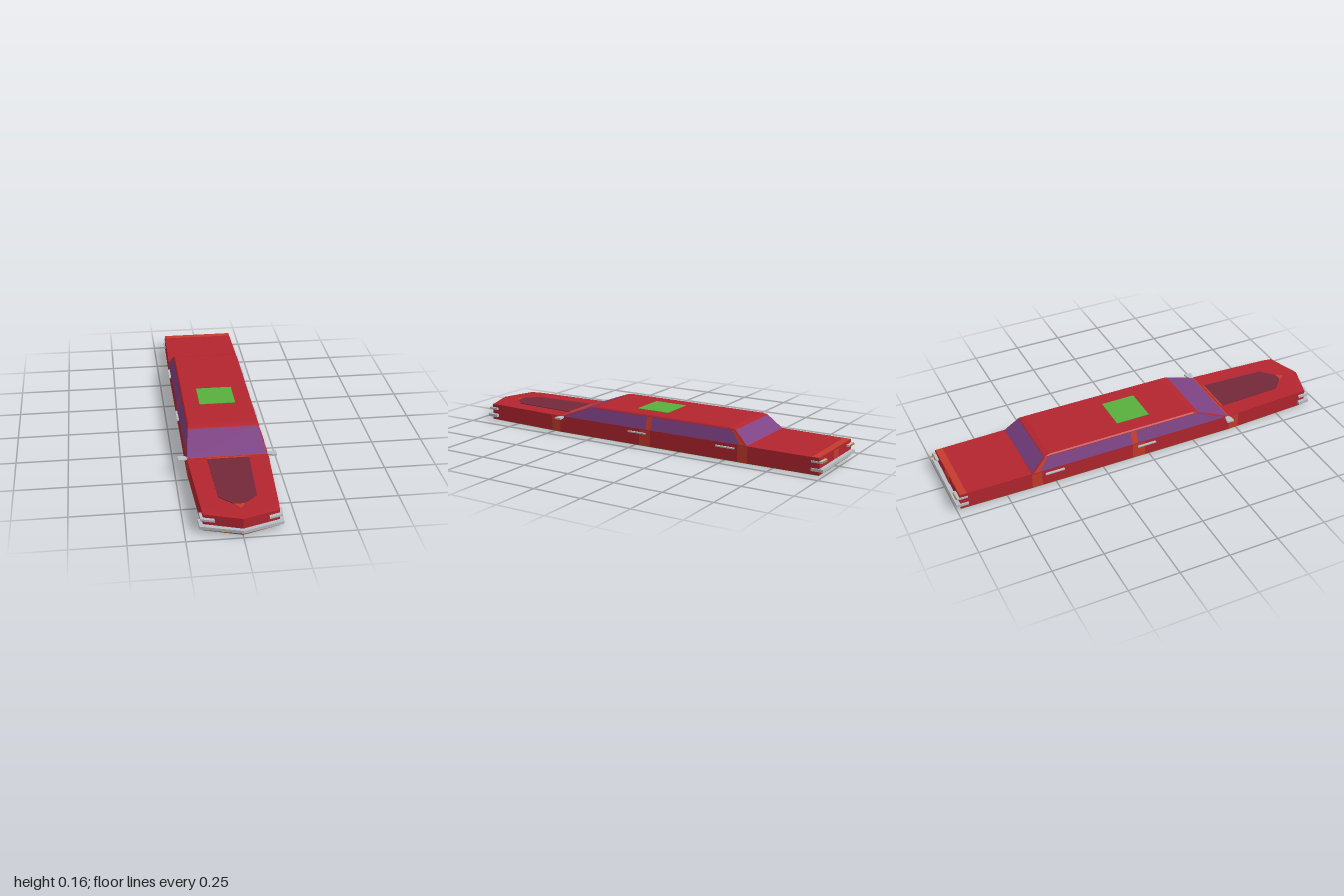
import * as THREE from 'three';

const mat = (name, color, side = THREE.FrontSide) => {
  const m = new THREE.MeshStandardMaterial({ color, side });
  m.name = name;
  return m;
};

export function createModel() {
  const car = new THREE.Group();
  car.name = 'limousine';
  const D = THREE.DoubleSide;
  const red = mat('bodyRed', 0xb4252f), trim = mat('orangeRedTrim', 0xc63b2c, D);
  const glass = mat('purpleGlass', 0x7d4184, D), maroon = mat('maroonHood', 0x742838, D);
  const green = mat('green', 0x58b03c), chrome = mat('chrome', 0xb9bec4);
  const black = mat('black', 0x0a0a0a), amber = mat('amber', 0xa8842a);

  const add = (name, geo, material) => {
    const m = new THREE.Mesh(geo, material);
    m.name = name;
    car.add(m);
    return m;
  };
  const box = (name, material, w, h, d, x, y, z) =>
    add(name, new THREE.BoxGeometry(w, h, d), material).position.set(x, y, z);
  // Flat face fans from corner points, unshared so edges stay sharp
  const faces = (name, material, list) => {
    const pos = [];
    for (const f of list)
      for (let i = 1; i < f.length - 1; i++) pos.push(...f[0], ...f[i], ...f[i + 1]);
    const g = new THREE.BufferGeometry();
    g.setAttribute('position', new THREE.Float32BufferAttribute(pos, 3));
    g.computeVertexNormals();
    return add(name, g, material);
  };
  // Slab from a plan outline of [x, z] points between two heights
  const slab = (pts, y0, y1) => {
    const s = new THREE.Shape(pts.map(([x, z]) => new THREE.Vector2(x, -z)));
    const g = new THREE.ExtrudeGeometry(s, { depth: y1 - y0, bevelEnabled: false });
    return g.rotateX(-Math.PI / 2).translate(0, y0, 0);
  };
  const mirrored = half => [...half, ...half.slice().reverse().filter(p => p[0] !== 0).map(([x, z]) => [-x, z])];

  // Lower body: tapered nose with a shallow point, decks dip slightly at both ends
  const plan = mirrored([[0, 0.98], [0.168, 0.925], [0.172, 0.87], [0.193, 0.45], [0.193, -0.62], [0.188, -0.98]]);
  const deckY = z => (z > 0.9 ? 0.083 : z > -0.62 ? 0.086 : 0.086 + (z + 0.62) * 0.006);
  const bodyGeo = slab(plan, 0.003, 0.083);
  const p = bodyGeo.attributes.position;
  for (let i = 0; i < p.count; i++) if (p.getY(i) > 0.05) p.setY(i, deckY(p.getZ(i)));
  bodyGeo.computeVertexNormals();
  add('body', bodyGeo, red);
  add('floor', slab(plan, 0.0015, 0.003), green);
  box('underPlate', black, 0.205, 0.0015, 0.28, 0, 0.00075, 0);

  // Cabin: three rectangular rings stacked into a chamfered greenhouse
  const rings = [[0.193, 0.084, 0.45, -0.62], [0.172, 0.151, 0.275, -0.545], [0.166, 0.157, 0.25, -0.52]]
    .map(([x, y, f, b]) => [[x, y, f], [x, y, b], [-x, y, b], [-x, y, f]]);
  const cabin = [rings[2]];
  for (let r = 0; r < 2; r++)
    for (let i = 0; i < 4; i++) {
      const j = (i + 1) % 4;
      cabin.push([rings[r][i], rings[r][j], rings[r + 1][j], rings[r + 1][i]]);
    }
  faces('cabin', red, cabin);
  box('roofPanel', green, 0.18, 0.003, 0.175, 0, 0.1575, -0.04);

  // Windscreen and rear window, inset into the sloping ends
  const pane = (name, zb, zt, dz, yt) => faces(name, glass, [[
    [-0.188, 0.087, zb + dz], [0.188, 0.087, zb + dz], [0.169, yt, zt + dz], [-0.169, yt, zt + dz]]]);
  pane('windscreen', 0.443, 0.28, 0.004, 0.149);
  pane('rearWindow', -0.616, -0.547, -0.002, 0.149);

  const cabinX = y => 0.1945 - ((y - 0.084) / 0.067) * 0.021;
  const bodyX = z => 0.0012 + (z > 0.45 ? 0.193 - (z - 0.45) * 0.05 : z > -0.62 ? 0.193 : 0.193 + (z + 0.62) * 0.0139);
  for (const s of [1, -1]) {
    const side = s > 0 ? 'left' : 'right';
    // Side glass and pillars given by z at the sill and z at the roof
    const strip = (name, material, b0, b1, t0, t1) => {
      const y0 = 0.087, y1 = 0.149;
      faces(side + name, material, [[
        [s * cabinX(y0), y0, b0], [s * cabinX(y0), y0, b1], [s * cabinX(y1), y1, t1], [s * cabinX(y1), y1, t0]]]);
    };
    strip('FrontWindow', glass, 0.432, -0.062, 0.272, -0.062);
    strip('MiddlePillar', trim, -0.062, -0.092, -0.062, -0.092);
    strip('BackWindow', glass, -0.092, -0.582, -0.092, -0.528);
    strip('RearPillar', trim, -0.582, -0.61, -0.528, -0.543);
    // Painted bands on the lower side
    for (const [name, z0, z1] of [['FrontBand', 0.51, 0.455], ['MiddleBand', -0.025, -0.09], ['RearBand', -0.57, -0.622]])
      faces(side + name, trim, [[
        [s * bodyX(z0), 0.004, z0], [s * bodyX(z1), 0.004, z1], [s * bodyX(z1), 0.084, z1], [s * bodyX(z0), 0.084, z0]]]);
    // Door handles
    for (const z of [-0.015, -0.505])
      box(side + 'DoorHandle', chrome, 0.012, 0.006, 0.098, s * 0.198, 0.067, z);
    // Wing mirror on a short arm
    const m = [[0.19, 0.432], [0.212, 0.425], [0.235, 0.422], [0.235, 0.46], [0.212, 0.46], [0.19, 0.45]];
    const mg = slab(s > 0 ? m : m.map(([x, z]) => [-x, z]).reverse(), 0.079, 0.087);
    add(side + 'Mirror', mg, chrome);
    // Wrapped corner lamps
    const front = [[0.12, 0.957], [0.18, 0.938], [0.183, 0.885], [0.17, 0.885], [0.165, 0.922], [0.12, 0.936]];
    const rear = [[0.13, -0.993], [0.192, -0.993], [0.192, -0.94], [0.185, -0.94], [0.183, -0.975], [0.13, -0.975]];
    const flip = a => a.map(([x, z]) => [s * x, z]);
    add(side + 'Headlamp', slab(flip(front), 0.058, 0.068), chrome);
    add(side + 'TailLamp', slab(flip(rear), 0.06, 0.069), chrome);
    box(side + 'TailLens', amber, 0.045, 0.008, 0.005, s * 0.162, 0.0645, -0.9955);
  }

  // Wraparound bumpers
  const frontBar = [...mirrored([[0.188, 0.885], [0.185, 0.943], [0, 0.998]]).slice(0, 3),
    [-0.185, 0.943], [-0.188, 0.885], [-0.169, 0.885], [-0.166, 0.923], [0, 0.976], [0.166, 0.923], [0.169, 0.885]];
  add('frontBumper', slab(frontBar, 0.019, 0.034), chrome);
  const rearBar = [[0.194, -0.94], [0.194, -1], [-0.194, -1], [-0.194, -0.94],
    [-0.186, -0.94], [-0.186, -0.976], [0.186, -0.976], [0.186, -0.94]];
  add('rearBumper', slab(rearBar, 0.02, 0.034), chrome);

  // Hood panel, its nose tip and the cowl strips
  const hood = mirrored([[0.1, 0.468], [0.086, 0.8], [0.022, 0.862]]);
  add('hoodPanel', slab(hood, 0.084, 0.0875), maroon);
  add('hoodTip', slab([[0.034, 0.85], [0, 0.898], [-0.034, 0.85]], 0.084, 0.0868), trim);
  box('hoodVent', trim, 0.2, 0.003, 0.01, 0, 0.0865, 0.463);
  box('cowlStrip', trim, 0.37, 0.002, 0.008, 0, 0.0862, 0.449);

  // Rear deck edge and tail plate
  box('deckEdge', trim, 0.374, 0.003, 0.034, 0, 0.0836, -0.96);
  box('tailPlate', trim, 0.06, 0.04, 0.003, 0, 0.056, -0.981);
  return car;
}
